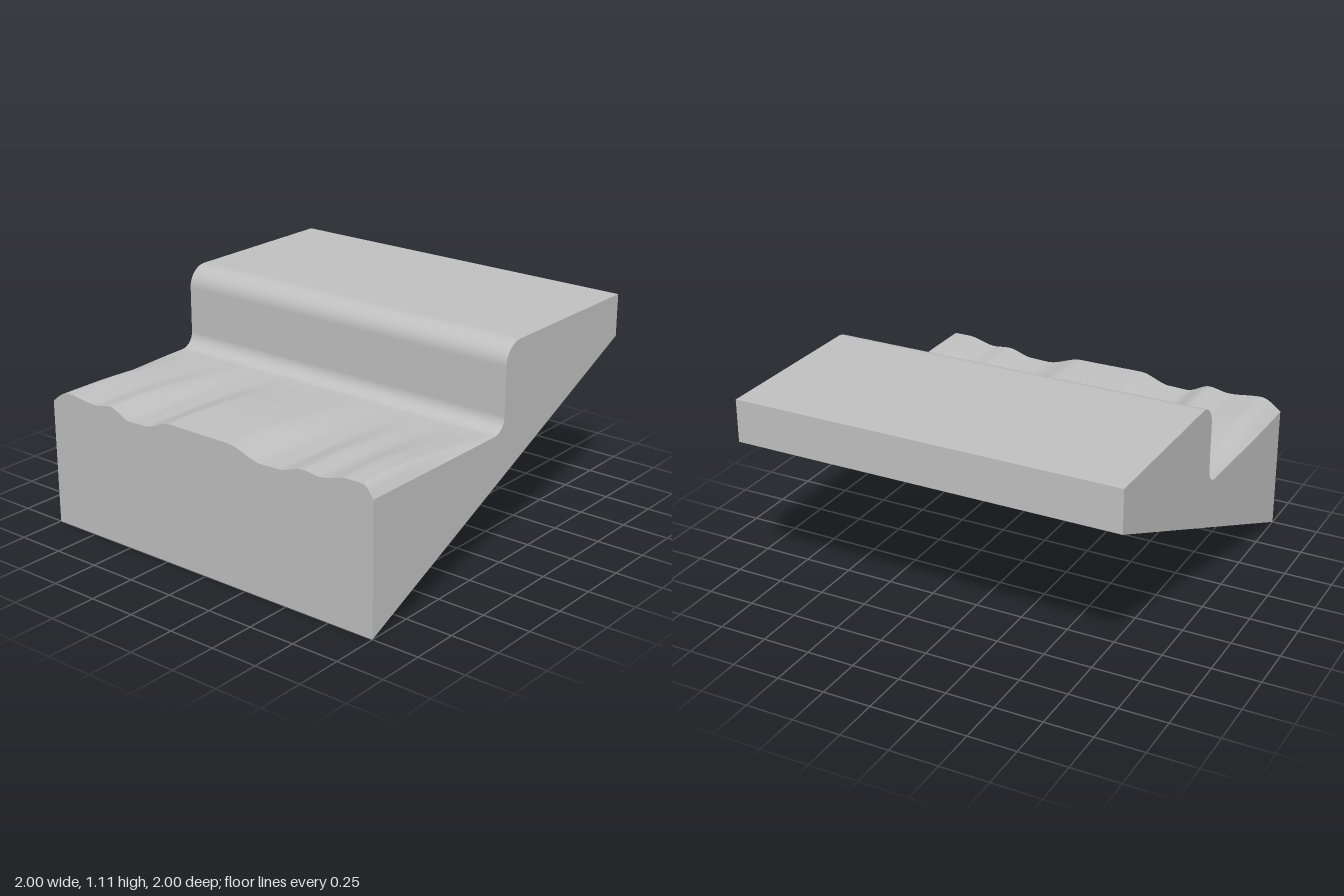
import * as THREE from 'three';

// Ridge heights across the low shelf: [z, y]; the outer knots overhang to round the edges
const RIDGES = [
  [-1.1, 0.6], [-0.89, 0.717], [-0.71, 0.7], [-0.6, 0.718], [-0.47, 0.672], [-0.37, 0.675],
  [-0.2, 0.724], [0.16, 0.722], [0.36, 0.672], [0.46, 0.675], [0.61, 0.71], [0.7, 0.702],
  [0.86, 0.735], [0.94, 0.735], [1.05, 0.63],
];
const FLOOR = 0.675;
const smooth = THREE.MathUtils.smoothstep;

function ridgeHeight(z) {
  const i = RIDGES.findIndex((k) => k[0] >= z);
  const [z0, y0] = RIDGES[i - 1], [z1, y1] = RIDGES[i];
  return y0 + (y1 - y0) * smooth(z, z0, z1);
}

// Step profile along x: shelf, lower fillet, wall, upper round, plateau
function stepProfile() {
  const pts = [];
  for (let i = 0; i < 48; i++) pts.push([-1 + (0.92 * i) / 48, FLOOR]);
  for (let i = 0; i <= 10; i++) {
    const a = (i / 10) * Math.PI / 2;
    pts.push([-0.08 + 0.08 * Math.sin(a), FLOOR + 0.08 * (1 - Math.cos(a))]);
  }
  for (let i = 0; i <= 10; i++) {
    const a = (i / 10) * Math.PI / 2;
    pts.push([0.11 * (1 - Math.cos(a)), 1 + 0.11 * Math.sin(a)]);
  }
  pts.push([0.16, 1.11], [1, 1.11]);
  return pts;
}

// Surface grid; its front faces along (direction of i) x (direction of j)
function grid(ni, nj, point) {
  const pos = [], index = [];
  for (let i = 0; i <= ni; i++) for (let j = 0; j <= nj; j++) pos.push(...point(i, j));
  for (let i = 0; i < ni; i++) for (let j = 0; j < nj; j++) {
    const a = i * (nj + 1) + j, b = a + nj + 1;
    index.push(a, b, b + 1, a, b + 1, a + 1);
  }
  const g = new THREE.BufferGeometry();
  g.setAttribute('position', new THREE.Float32BufferAttribute(pos, 3));
  g.setIndex(index);
  g.computeVertexNormals();
  return g;
}

export function createModel() {
  const group = new THREE.Group();
  group.name = 'steppedWedge';
  const grey = new THREE.MeshStandardMaterial({ color: 0xc0c0c0 });
  grey.name = 'grey';

  const profile = stepProfile();
  const nx = profile.length - 1, nz = 200;
  const zAt = (i) => -1 + (2 * i) / nz;
  const underY = (x) => 0.445 * (x + 1);

  // Ridges fade out towards the wall
  const top = (k, z) => {
    const [x, y] = profile[k];
    const fade = 1 - smooth(x, -0.8, 0);
    return [x, y + (ridgeHeight(z) - FLOOR) * fade, z];
  };
  const bottom = (k, z) => [profile[k][0], underY(profile[k][0]), z];
  const wall = (k, z, up) => (up ? top(k, z) : bottom(k, z));

  const add = (name, geometry) => {
    const mesh = new THREE.Mesh(geometry, grey);
    mesh.name = name;
    group.add(mesh);
  };

  add('topSurface', grid(nz, nx, (i, j) => top(j, zAt(i))));
  add('frontWall', grid(nx, 1, (i, j) => wall(i, 1, j)));
  add('backWall', grid(1, nx, (i, j) => wall(j, -1, i)));
  add('ridgedEnd', grid(nz, 1, (i, j) => wall(0, zAt(i), j)));
  add('plateauEnd', grid(1, 1, (i, j) => wall(nx, j * 2 - 1, i)));
  add('slopedUnderside', grid(1, 1, (i, j) => bottom(i * nx, j * 2 - 1)));
  return group;
}
